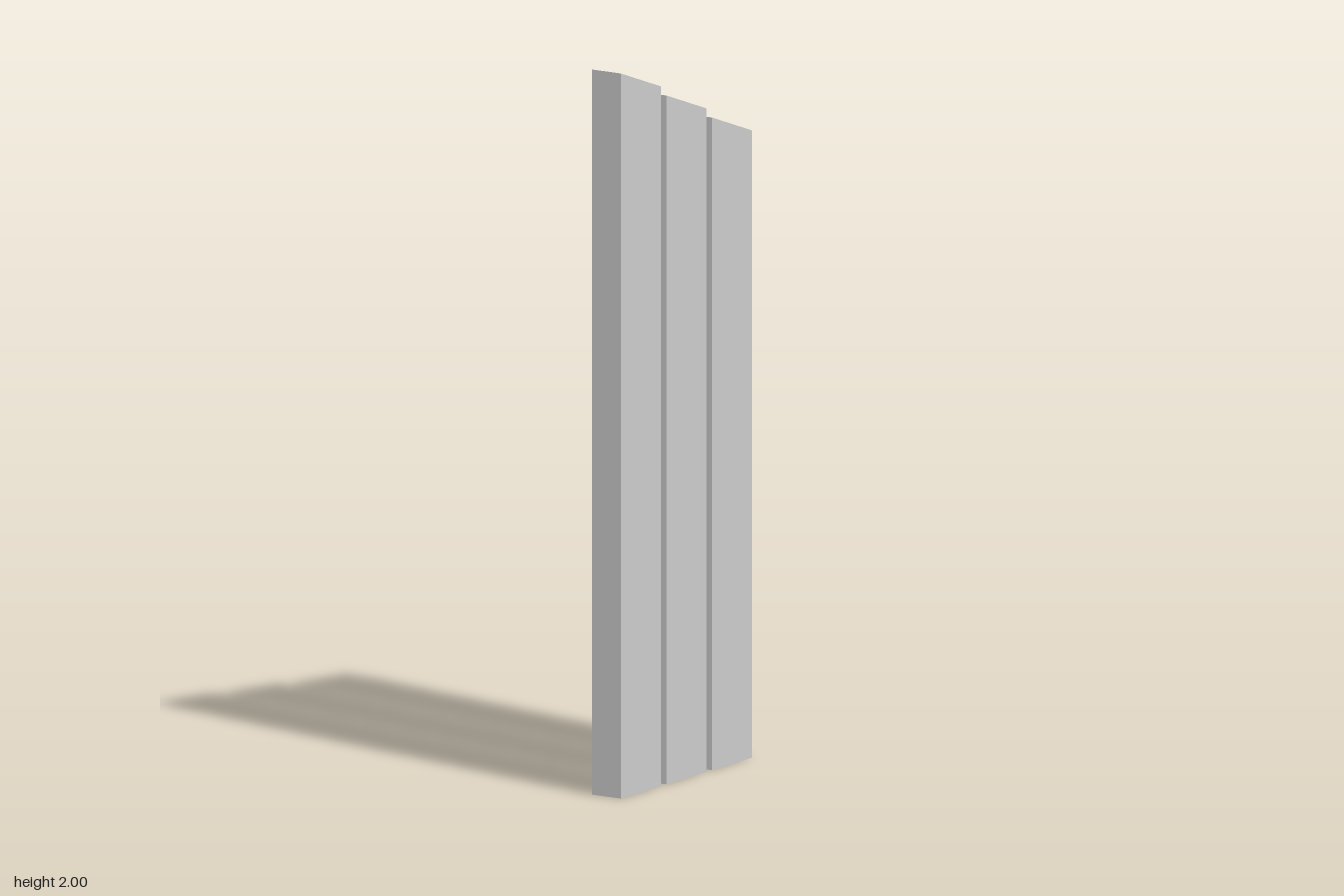
import * as THREE from 'three';

const WIDTH = 0.094;  // x
const DEPTH = 0.195;  // z
const PITCH = 0.222;  // spacing of the slats along z
const STEP = 0.1;     // each slat is this much lower than the one in front
const SLOPE = 0.07;   // drop of the slanted top from front to back

// Hollow slat: four walls and a slanted top, open underneath
function slatGeometry(height) {
  const geo = new THREE.BoxGeometry(WIDTH, height, DEPTH);
  geo.translate(0, height / 2, 0);

  // Leave out the bottom face (fourth of the six box sides)
  const index = Array.from(geo.index.array);
  index.splice(18, 6);
  geo.setIndex(index);
  geo.clearGroups();

  // Lower the back edge of the top
  const p = geo.attributes.position;
  for (let i = 0; i < p.count; i++) {
    if (p.getY(i) > height / 2 && p.getZ(i) < 0) p.setY(i, height - SLOPE);
  }
  geo.computeVertexNormals();
  return geo;
}

export function createModel() {
  const group = new THREE.Group();
  group.name = 'steppedSlats';
  const material = new THREE.MeshStandardMaterial({
    color: 0xcccccc, flatShading: true, side: THREE.DoubleSide,
  });

  // Three slats stepping down from front to back
  ['frontSlat', 'middleSlat', 'backSlat'].forEach((name, i) => {
    const slat = new THREE.Mesh(slatGeometry(2 - i * STEP), material);
    slat.name = name;
    slat.position.z = (1 - i) * PITCH;
    group.add(slat);
  });
  return group;
}
